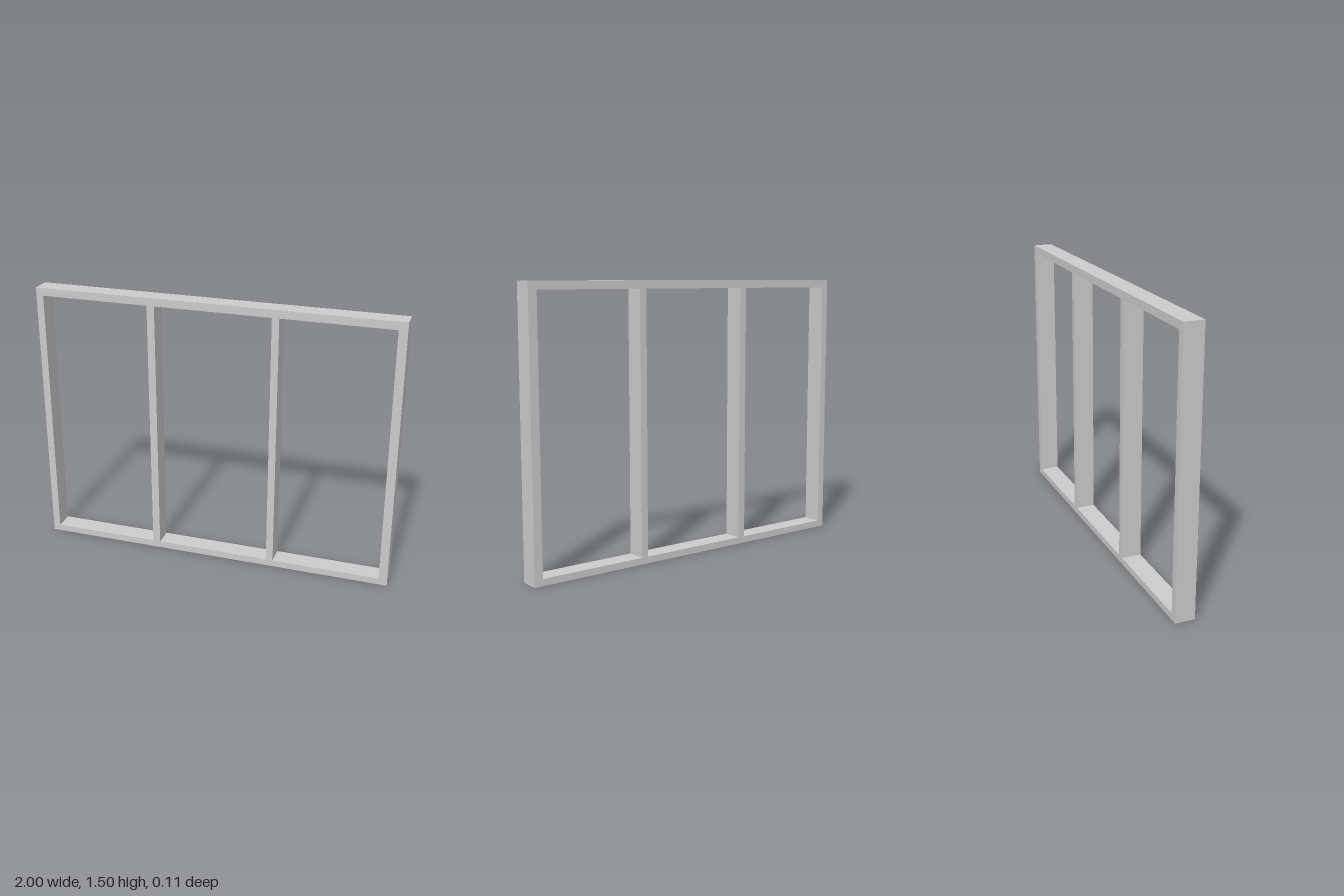
import * as THREE from 'three';

const HEIGHT = 1.497, DEPTH = 0.107;
const SILL = 0.037, HEAD = 1.454; // inner edges of the bottom and top rails
const BAYS = [[-0.96, -0.361], [-0.319, 0.317], [0.356, 0.953]]; // openings between the posts

// Traces a rectangle onto a Shape or Path
function rect(path, x0, y0, x1, y1) {
  path.moveTo(x0, y0);
  path.lineTo(x1, y0);
  path.lineTo(x1, y1);
  path.lineTo(x0, y1);
  path.closePath();
  return path;
}

export function createModel() {
  const group = new THREE.Group();
  group.name = 'windowFrame';

  // One-piece frame: outer rails and posts with three tall openings
  const outline = rect(new THREE.Shape(), -1, 0, 1, HEIGHT);
  for (const [x0, x1] of BAYS) outline.holes.push(rect(new THREE.Path(), x0, SILL, x1, HEAD));

  const geometry = new THREE.ExtrudeGeometry(outline, { depth: DEPTH, bevelEnabled: false });
  geometry.translate(0, 0, -DEPTH / 2);

  const frame = new THREE.Mesh(geometry, new THREE.MeshStandardMaterial({ color: 0xcccccc }));
  frame.name = 'frame';
  group.add(frame);
  return group;
}
